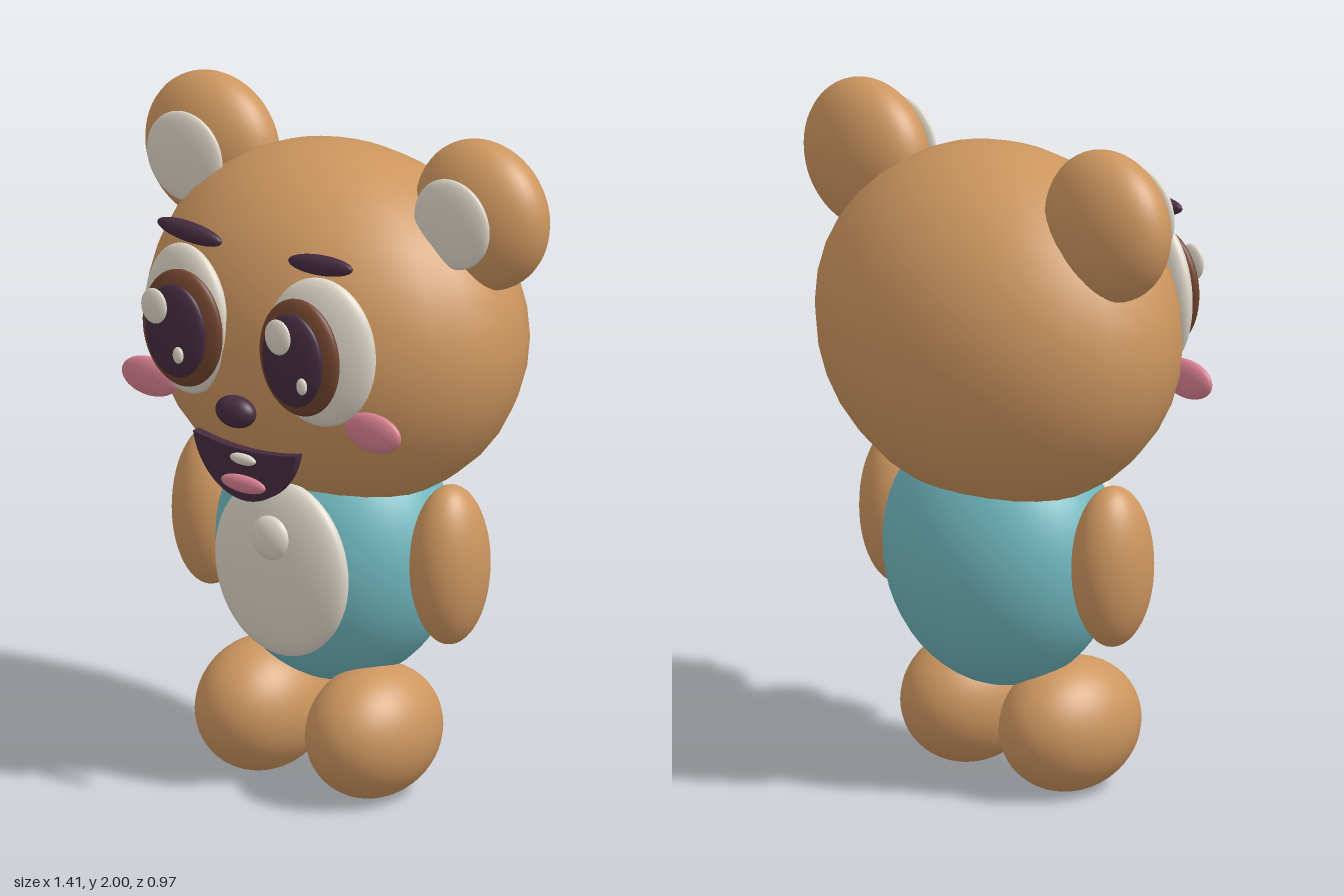
import * as THREE from 'three';

const mat = (name, color) => {
  const m = new THREE.MeshStandardMaterial({ color });
  m.name = name;
  return m;
};

export function createModel() {
  const fur = mat('tan fur', 0xcd965f);
  const teal = mat('teal shirt', 0x70b8c0);
  const cream = mat('cream', 0xded6c9);
  const plum = mat('dark plum', 0x452b3f);
  const brown = mat('iris brown', 0x70432d);
  const pink = mat('pink', 0xd98092);

  const group = new THREE.Group();
  const ball = new THREE.SphereGeometry(1, 24, 18);
  const fineBall = new THREE.SphereGeometry(1, 40, 28);

  // Ellipsoid from centre and radii
  function blob(name, material, pos, radii, geometry = fineBall) {
    const mesh = new THREE.Mesh(geometry, material);
    mesh.name = name;
    mesh.position.set(...pos);
    mesh.scale.set(...radii);
    group.add(mesh);
    return mesh;
  }

  // Head and body
  blob('head', fur, [0, 1.37, -0.042], [0.6, 0.525, 0.442], ball);
  blob('body', teal, [0, 0.7, -0.035], [0.37, 0.4, 0.3]);
  blob('bellyPatch', cream, [0, 0.697, 0.22], [0.235, 0.265, 0.063]);
  blob('bellyButton', cream, [0, 0.797, 0.27], [0.067, 0.067, 0.032]);

  // Mirrored parts
  for (const s of [1, -1]) {
    const side = s > 0 ? 'left' : 'right';
    blob(side + 'Ear', fur, [s * 0.485, 1.778, -0.087], [0.222, 0.222, 0.127]);
    blob(side + 'InnerEar', cream, [s * 0.48, 1.785, 0.05], [0.134, 0.134, 0.027]);
    blob(side + 'Arm', fur, [s * 0.427, 0.732, -0.01], [0.108, 0.238, 0.128]);
    blob(side + 'Foot', fur, [s * 0.198, 0.2, 0.047], [0.176, 0.195, 0.228]);
    blob(side + 'EyeWhite', cream, [s * 0.24, 1.432, 0.35], [0.173, 0.223, 0.053]).rotation.y = s * 0.2;
    blob(side + 'Iris', brown, [s * 0.21, 1.426, 0.41], [0.141, 0.175, 0.038]);
    blob(side + 'Pupil', plum, [s * 0.21, 1.426, 0.443], [0.107, 0.139, 0.028]);
    // Both highlights fall toward the same side in each eye
    const cx = s * 0.222;
    blob(side + 'LargeHighlight', cream, [cx - 0.044, 1.497, 0.471], [0.045, 0.053, 0.014]);
    blob(side + 'SmallHighlight', cream, [cx + 0.044, 1.367, 0.473], [0.018, 0.025, 0.01]);
    blob(side + 'Eyebrow', plum, [s * 0.235, 1.692, 0.345], [0.115, 0.03, 0.025]).rotation.z = s * 0.08;
    blob(side + 'Cheek', pink, [s * 0.4, 1.213, 0.315], [0.1, 0.058, 0.025]);
  }

  // Nose
  blob('nose', plum, [0, 1.225, 0.435], [0.067, 0.047, 0.04]);

  // Open mouth: a crescent-topped plate with tooth and tongue
  const shape = new THREE.Shape();
  shape.moveTo(-0.185, 1.118);
  shape.quadraticCurveTo(0, 1.075, 0.185, 1.118);
  shape.bezierCurveTo(0.165, 1.01, 0.08, 0.945, 0, 0.945);
  shape.bezierCurveTo(-0.08, 0.945, -0.165, 1.01, -0.185, 1.118);
  const mouth = new THREE.Mesh(
    new THREE.ExtrudeGeometry(shape, { depth: 0.03, bevelEnabled: false, curveSegments: 20 }), plum);
  mouth.name = 'mouth';
  mouth.position.z = 0.365;
  group.add(mouth);
  blob('tooth', cream, [0, 1.072, 0.402], [0.046, 0.017, 0.013]);
  blob('tongue', pink, [0, 0.997, 0.4], [0.079, 0.026, 0.016]);

  return group;
}
